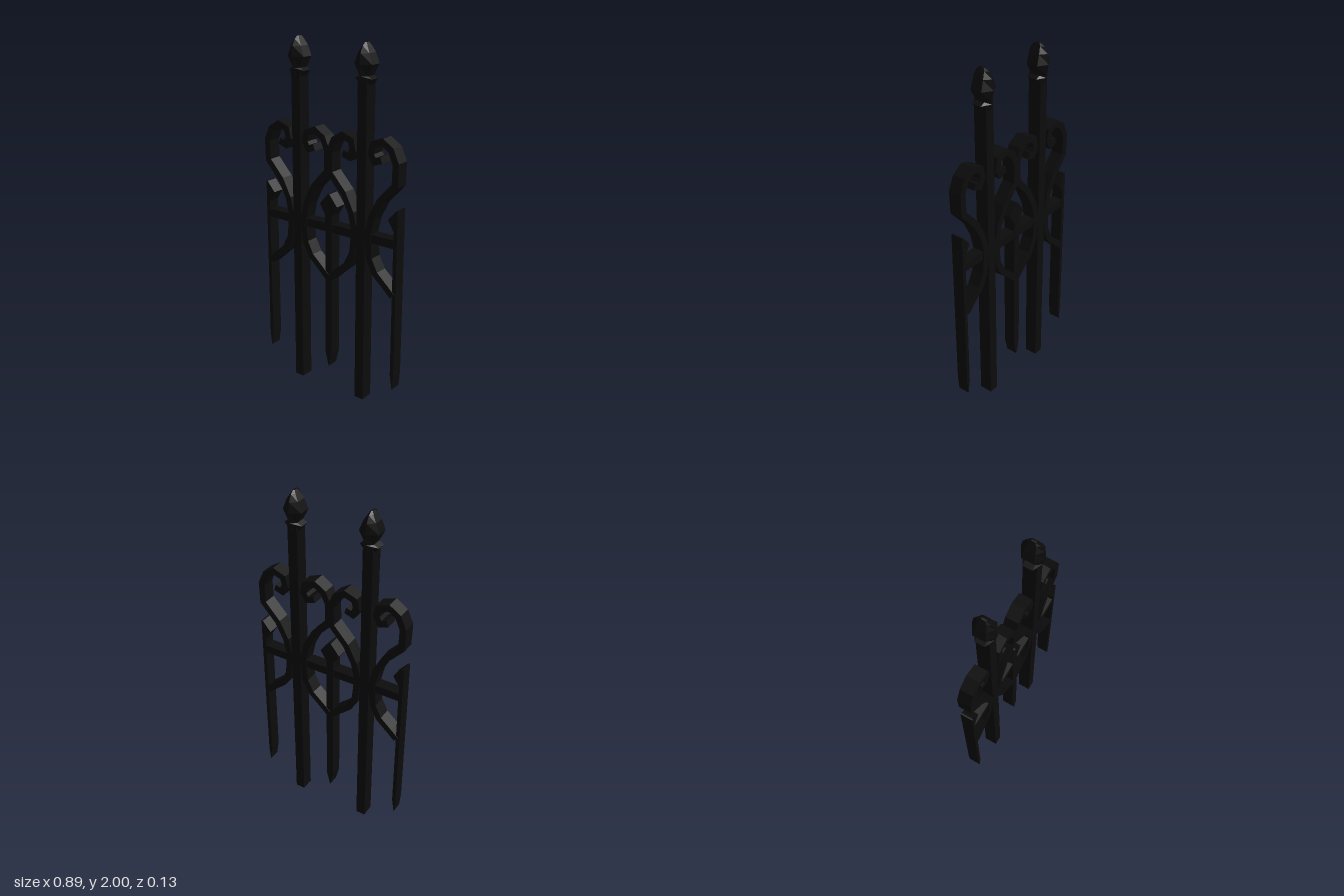
import * as THREE from 'three';

const iron = new THREE.MeshStandardMaterial({ color: 0x0c0c0c, flatShading: true });
iron.name = 'black iron';

const POST_X = 0.217;
const Z_MID = -0.0015;

function add(group, name, geometry, x = 0, y = 0) {
  const mesh = new THREE.Mesh(geometry, iron);
  mesh.name = name;
  mesh.position.set(x, y, Z_MID);
  group.add(mesh);
}

// Flat outline given thickness, centred in z
function plate(points, depth) {
  const shape = new THREE.Shape(points.map(([x, y]) => new THREE.Vector2(x, y)));
  const g = new THREE.ExtrudeGeometry(shape, { depth, bevelEnabled: false });
  return g.translate(0, 0, -depth / 2);
}

// Band of constant width around a bent centre line, with mitred corners
function bandOutline(path, width) {
  const p = path.map(([x, y]) => new THREE.Vector2(x, y));
  const left = [], right = [];
  p.forEach((c, i) => {
    const d1 = (i ? c.clone().sub(p[i - 1]) : p[1].clone().sub(c)).normalize();
    const d2 = (i < p.length - 1 ? p[i + 1].clone().sub(c) : d1.clone()).normalize();
    const t = d1.clone().add(d2).normalize();
    const k = width / 2 / Math.max(0.6, t.dot(d1));
    left.push([c.x - t.y * k, c.y + t.x * k]);
    right.unshift([c.x + t.y * k, c.y - t.x * k]);
  });
  return left.concat(right);
}

// Six-sided finial: rows of height, half width in x, half depth in z
function finialGeometry() {
  const rows = [
    [1.785, 0, 0], [1.79, 0.027, 0.045], [1.822, 0.052, 0.052], [1.836, 0.026, 0.054],
    [1.895, 0.054, 0.066], [1.95, 0.034, 0.057], [1.985, 0.014, 0.038], [2.0, 0.005, 0.018], [2.0, 0, 0],
  ];
  const g = new THREE.LatheGeometry(rows.map(([y, , z]) => new THREE.Vector2(z, y)), 6);
  const pos = g.attributes.position;
  for (let i = 0; i < pos.count; i++) {
    const [, hx, hz] = rows[i % rows.length];
    if (hz > 0) pos.setX(i, pos.getX(i) / (hz * 0.866) * hx);
  }
  return g;
}

export function createModel() {
  const group = new THREE.Group();
  group.name = 'ironFencePanel';

  // Scroll centre line, relative to its post
  const scroll = [
    [-0.207, 0.692], [-0.164, 0.732], [-0.095, 0.793], [-0.056, 0.87], [-0.048, 0.955],
    [-0.045, 1.013], [-0.066, 1.103], [-0.117, 1.202], [-0.207, 1.3], [-0.21, 1.416],
    [-0.18, 1.483], [-0.127, 1.517], [-0.069, 1.496], [-0.058, 1.446], [-0.08, 1.408], [-0.122, 1.422],
  ];
  const outline = bandOutline(scroll, 0.037);
  // Half picket cut off at the panel edge
  const halfPicket = [
    [0.445, 0.22], [0.437, 0.13], [0.423, 0.22], [0.423, 1.056],
    [0.387, 1.114], [0.436, 1.172], [0.445, 1.172],
  ];

  for (const side of [1, -1]) {
    const label = side > 0 ? 'left' : 'right';
    const x = side * POST_X;

    // Square post with its spear finial
    add(group, label + 'Post', new THREE.BoxGeometry(0.056, 1.81, 0.076), x, 0.905);
    add(group, label + 'Finial', finialGeometry(), x);

    // A mirrored pair of scrolls around each post
    for (const m of [1, -1]) {
      add(group, label + (m * side > 0 ? 'InnerScroll' : 'OuterScroll'),
        plate(outline.map(([u, y]) => [u * m * side, y]), 0.075), x);
    }

    add(group, label + 'EdgePicket', plate(halfPicket.map(([u, y]) => [u * side, y]), 0.07));
  }

  // Middle picket with spear head and pointed foot
  const half = [[0.022, 0.22], [0.022, 1.056], [0.058, 1.114], [0.006, 1.178]];
  const mirrored = half.map(([x, y]) => [-x, y]).reverse();
  add(group, 'middlePicket', plate([[0, 0.13], ...half, ...mirrored], 0.07));

  // Cross rail
  add(group, 'crossRail', new THREE.BoxGeometry(0.87, 0.048, 0.066), 0, 0.984);

  return group;
}
